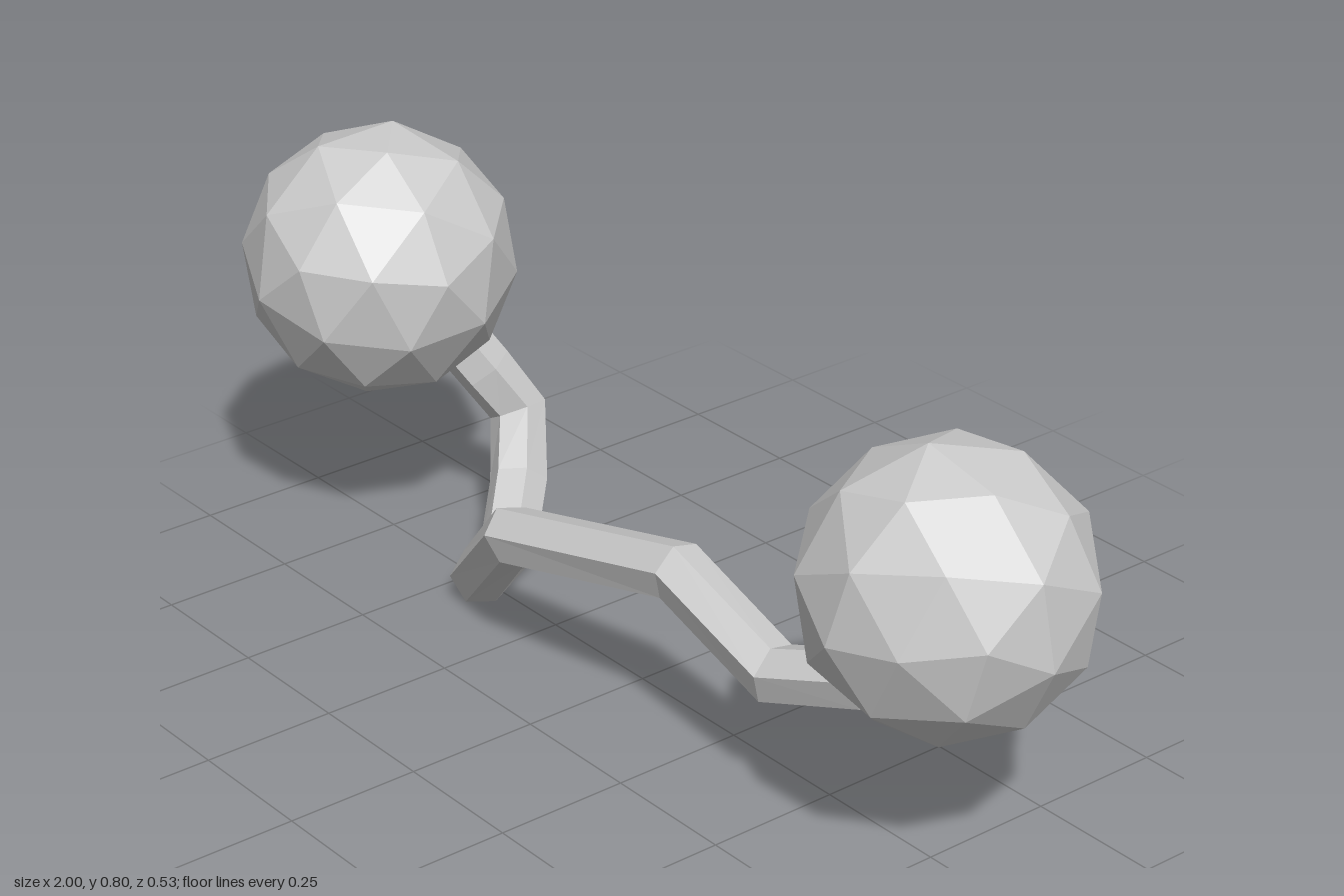
import * as THREE from 'three';

// Polyline path whose samples fall exactly on its bend points
class BentPath extends THREE.Curve {
  constructor(points) {
    super();
    this.points = points.map((p) => new THREE.Vector3(...p));
  }
  get segments() {
    return this.points.length - 1;
  }
  getPointAt(u, target = new THREE.Vector3()) {
    return target.copy(this.points[Math.round(u * this.segments)]);
  }
  // The tangent at a bend halves the angle between its neighbours
  getTangentAt(u, target = new THREE.Vector3()) {
    const i = Math.round(u * this.segments);
    const p = this.points;
    const here = p[i];
    const before = p[Math.max(i - 1, 0)];
    const after = p[Math.min(i + 1, this.segments)];
    target.subVectors(here, before).normalize();
    return target.add(after.clone().sub(here).normalize()).normalize();
  }
}

export function createModel() {
  const model = new THREE.Group();
  model.name = 'bentDumbbell';
  const material = new THREE.MeshStandardMaterial({ color: 0xcccccc, flatShading: true });

  // Faceted balls at both ends
  const addBall = (name, position, rotation) => {
    const ball = new THREE.Mesh(new THREE.IcosahedronGeometry(0.253, 1), material);
    ball.name = name;
    ball.position.set(...position);
    ball.rotation.set(...rotation);
    model.add(ball);
  };
  addBall('rightBall', [-0.753, 0.563, 0.01], [0.3, 0.5, 0.2]);
  addBall('leftBall', [0.753, 0.508, -0.012], [0.6, 0.2, 0.4]);

  // Crooked rod, its ends buried in the balls
  const path = new BentPath([
    [-0.73, 0.44, -0.09],
    [-0.67, 0.32, -0.16],
    [-0.635, 0.23, -0.212],
    [-0.56, 0.13, -0.155],
    [-0.47, 0.055, -0.06],
    [-0.41, 0.058, 0.05],
    [-0.21, 0.25, 0.125],
    [0.2, 0.337, 0.085],
    [0.45, 0.25, 0.083],
    [0.62, 0.3, 0.04],
    [0.73, 0.4, 0],
  ]);
  const rod = new THREE.Mesh(new THREE.TubeGeometry(path, path.segments, 0.055, 6, false), material);
  rod.name = 'rod';
  model.add(rod);

  return model;
}
